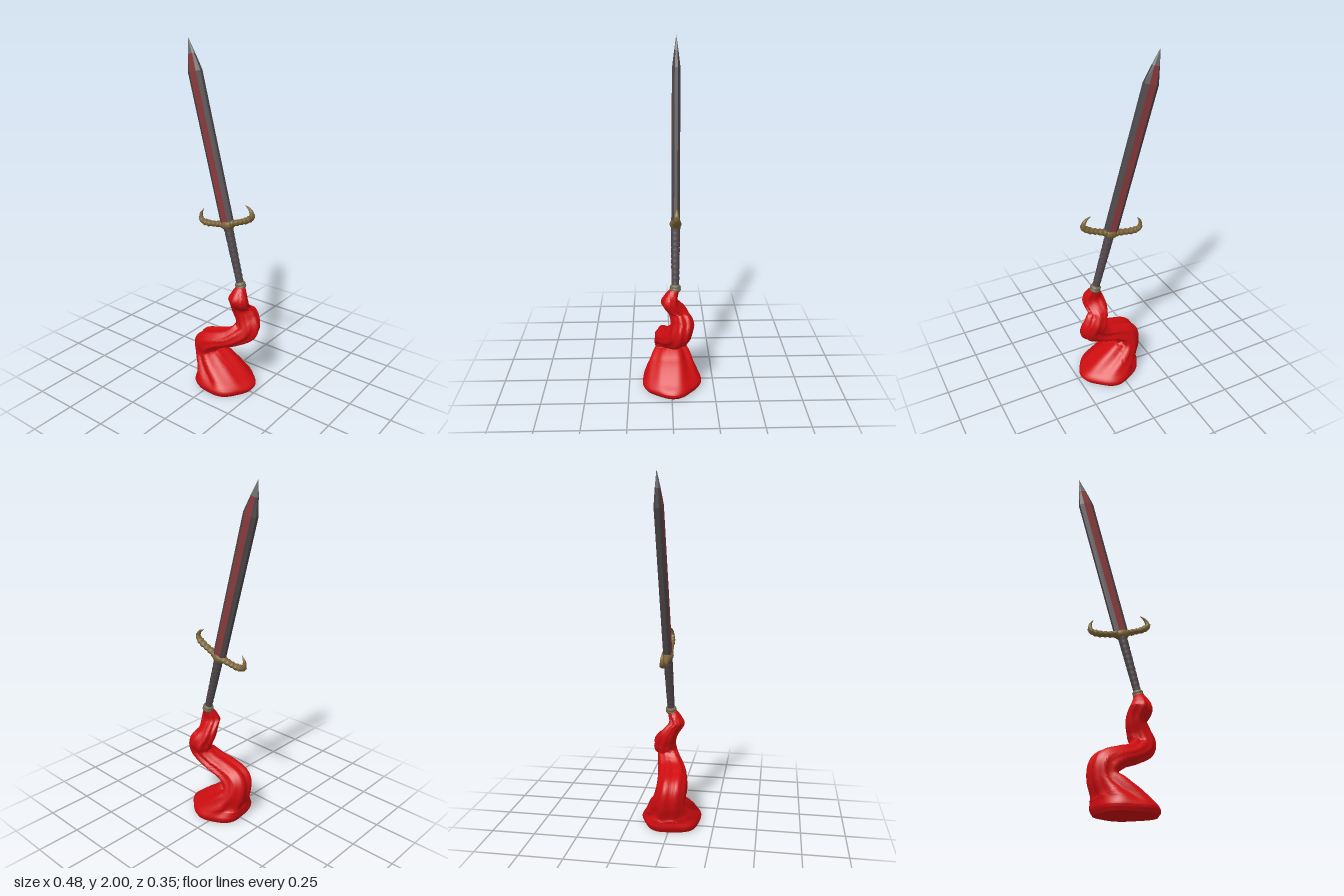
import * as THREE from 'three';
import { toCreasedNormals } from 'three/addons/utils/BufferGeometryUtils.js';

const mat = (name, color, extra = {}) => new THREE.MeshStandardMaterial({ name, color, ...extra });

// Sweeps an oval section along a path. Rows: [x, y, z, radius in the xy plane, radius in z].
function sweep(rows, rings, sides, { shape = () => 1, levelBelow = -1, crease = 1 } = {}) {
  const centre = new THREE.CatmullRomCurve3(rows.map(r => new THREE.Vector3(r[0], r[1], r[2])), false, 'catmullrom', 0.5);
  const radii = new THREE.CatmullRomCurve3(rows.map(r => new THREE.Vector3(r[3], r[4], 0)), false, 'catmullrom', 0.5);
  const pos = [], index = [];
  for (let i = 0; i <= rings; i++) {
    const t = i / rings, c = centre.getPoint(t), r = radii.getPoint(t);
    const dir = centre.getTangent(t).setZ(0).normalize();
    // sections become level near the floor
    const level = 1 - THREE.MathUtils.smoothstep(c.y, levelBelow * 0.35, levelBelow);
    if (levelBelow > 0) dir.lerp(new THREE.Vector3(0, -1, 0), level).normalize();
    for (let j = 0; j < sides; j++) {
      const a = (j / sides) * Math.PI * 2, s = shape(a, t);
      const u = Math.cos(a) * r.x * s, v = Math.sin(a) * r.y * s;
      pos.push(c.x - dir.y * u, c.y + dir.x * u, c.z + v);
    }
  }
  for (let i = 0; i < rings; i++) {
    for (let j = 0; j < sides; j++) {
      const k = (j + 1) % sides, a = i * sides, b = a + sides;
      index.push(a + j, a + k, b + j, a + k, b + k, b + j);
    }
  }
  // end caps
  const first = centre.getPoint(0), last = centre.getPoint(1), n = pos.length / 3;
  pos.push(...first.toArray(), ...last.toArray());
  for (let j = 0; j < sides; j++) {
    const k = (j + 1) % sides, e = rings * sides;
    index.push(n, k, j, n + 1, e + j, e + k);
  }
  const g = new THREE.BufferGeometry();
  g.setAttribute('position', new THREE.Float32BufferAttribute(pos, 3));
  g.setIndex(index);
  return toCreasedNormals(g, crease);
}

// Faceted blade: edges, raised centre panels and bare point as material groups.
function bladeGeometry() {
  // [distance along sword, half width, half panel, half thickness, half edge]
  const sections = [
    [0.37, 0.041, 0.02, 0.023, 0.009],
    [1.22, 0.044, 0.022, 0.023, 0.009],
    [1.315, 0.022, 0.014, 0.012, 0.005],
    [1.4, 0.0005, 0.0003, 0.0005, 0.0003],
  ].map(([y, w, f, h, e]) => [[w, e], [f, h], [-f, h], [-w, e], [-w, -e], [-f, -h], [f, -h], [w, -e]]
    .map(([x, z]) => [x, y, z]));
  const g = new THREE.BufferGeometry(), pos = [];
  for (let i = 0; i < 3; i++) {
    const a = sections[i], b = sections[i + 1];
    for (let j = 0; j < 8; j++) {
      const k = (j + 1) % 8, start = pos.length / 3;
      for (const p of [a[j], b[j], a[k], a[k], b[j], b[k]]) pos.push(...p);
      g.addGroup(start, 6, i === 2 ? 2 : j === 1 || j === 5 ? 1 : 0);
    }
  }
  g.setAttribute('position', new THREE.Float32BufferAttribute(pos, 3));
  // faces are listed clockwise about the axis, so swap corners to face outward
  const p = g.attributes.position;
  for (let i = 0; i < p.count; i += 3) {
    const b = [p.getX(i + 1), p.getY(i + 1), p.getZ(i + 1)];
    p.setXYZ(i + 1, p.getX(i + 2), p.getY(i + 2), p.getZ(i + 2));
    p.setXYZ(i + 2, ...b);
  }
  g.computeVertexNormals();
  return g;
}

export function createModel() {
  const clothRed = mat('cloth red', 0xcf0d10, { side: THREE.DoubleSide });
  const steel = mat('dark steel', 0x4c4648, { side: THREE.DoubleSide });
  const bladeRed = mat('blade red', 0x8a3a3c, { side: THREE.DoubleSide });
  const tipSteel = mat('bare steel', 0x6e7072, { side: THREE.DoubleSide });
  const leather = mat('grip leather', 0x50474a);
  const bronze = mat('aged bronze', 0x7b6338);
  const collarTan = mat('collar tan', 0x756950);

  const model = new THREE.Group();
  const add = (parent, name, geometry, material) => {
    const m = new THREE.Mesh(geometry, material);
    m.name = name;
    parent.add(m);
    return m;
  };

  // twisting cloth, from the sword down to its spread foot
  const folds = (a, t) => {
    const fade = 1 - THREE.MathUtils.smoothstep(t, 0.72, 0.95);
    const grow = THREE.MathUtils.smoothstep(t, 0, 0.15);
    const deep = 0.13 * (Math.abs(Math.sin(2.5 * a + 3 * t)) - 0.65) + 0.05 * Math.cos(8 * a - 4 * t);
    const foot = 0.035 * Math.cos(5 * a + 0.8) + 0.02 * Math.cos(3 * a);
    return 1 + deep * fade * grow + foot * (1 - fade);
  };
  add(model, 'cloth', sweep([
    [0.135, 0.66, -0.018, 0.024, 0.024],
    [0.137, 0.625, 0.0, 0.042, 0.036],
    [0.137, 0.575, 0.01, 0.06, 0.046],
    [0.127, 0.51, -0.04, 0.058, 0.056],
    [0.152, 0.45, -0.062, 0.066, 0.063],
    [0.165, 0.385, -0.045, 0.07, 0.062],
    [0.09, 0.322, -0.01, 0.055, 0.078],
    [0.0, 0.288, 0.01, 0.058, 0.085],
    [-0.07, 0.245, 0.012, 0.075, 0.088],
    [-0.077, 0.18, 0.0, 0.077, 0.095],
    [-0.03, 0.12, 0.0, 0.108, 0.128],
    [0.028, 0.07, 0.0, 0.158, 0.155],
    [0.047, 0.03, 0.0, 0.18, 0.174],
    [0.047, 0.0, 0.0, 0.165, 0.162],
  ], 130, 80, { shape: folds, levelBelow: 0.17, crease: 0.9 }), clothRed);

  // sword, leaning and built along its own y axis
  const sword = new THREE.Group();
  sword.name = 'sword';
  sword.position.set(0.135, 0.65, -0.02);
  sword.rotation.set(-0.011, 0, 0.271);
  model.add(sword);

  add(sword, 'blade', bladeGeometry(), [steel, bladeRed, tipSteel]);

  // grip with wrapped ridges
  const wrap = [];
  for (let i = 0; i <= 44; i++) {
    const t = i / 44;
    wrap.push(new THREE.Vector2(0.0215 + 0.005 * t + (i % 4 === 0 ? -0.0015 : 0), 0.02 + 0.34 * t));
  }
  add(sword, 'grip', new THREE.LatheGeometry(wrap, 20), leather);

  // pommel collar
  const collar = [[0, -0.012], [0.024, -0.01], [0.031, 0], [0.031, 0.008], [0.026, 0.011],
    [0.031, 0.016], [0.03, 0.024], [0.022, 0.032], [0, 0.032]];
  add(sword, 'pommelCollar', new THREE.LatheGeometry(collar.map(p => new THREE.Vector2(...p)), 20), collarTan);

  // guard: mirrored arms ending in curled horns, each with an outer spur
  const guard = new THREE.Group();
  guard.name = 'guard';
  guard.position.y = 0.368;
  sword.add(guard);
  const knobs = (a, t) => (t < 0.6 ? 1 + 0.12 * Math.sin(t * 62) : 1);
  for (const [side, s] of [['left', 1], ['right', -1]]) {
    add(guard, side + 'Arm', sweep([
      [0, 0.002, 0, 0.022, 0.028], [0.05 * s, 0.006, 0, 0.018, 0.023], [0.1 * s, 0.011, 0, 0.016, 0.02],
      [0.15 * s, 0.02, 0, 0.018, 0.02], [0.18 * s, 0.04, 0, 0.014, 0.015],
      [0.176 * s, 0.074, 0, 0.009, 0.009], [0.15 * s, 0.102, 0, 0.001, 0.001],
    ], 60, 12, { shape: knobs }), bronze);
    add(guard, side + 'Spur', sweep([
      [0.15 * s, 0.016, 0, 0.012, 0.013], [0.182 * s, 0.026, 0, 0.009, 0.009], [0.203 * s, 0.05, 0, 0.001, 0.001],
    ], 10, 8), bronze);
  }
  const boss = add(guard, 'guardBoss', new THREE.SphereGeometry(1, 18, 12), bronze);
  boss.scale.set(0.046, 0.03, 0.033);
  const point = add(guard, 'guardPoint', new THREE.ConeGeometry(0.026, 0.05, 12), bronze);
  point.position.y = 0.04;
  point.scale.z = 1.05;

  return model;
}
